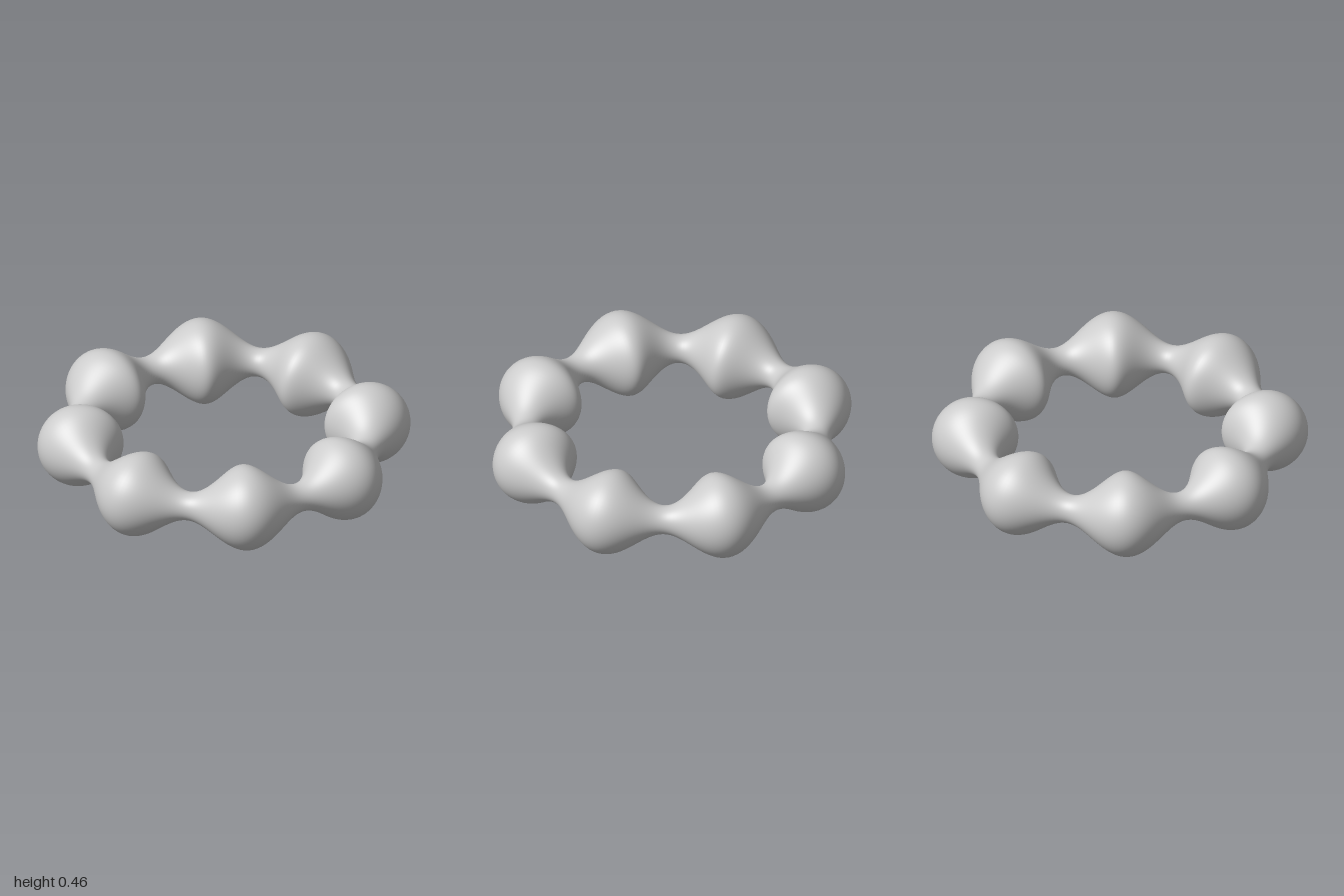
import * as THREE from 'three';
import { mergeVertices } from 'three/addons/utils/BufferGeometryUtils.js';

const RING = 0.77;   // radius of the ring's centre line
const BEAD = 0.23;   // tube radius at a bead
const NECK = 0.077;  // tube radius between beads
const BEADS = 8;

export function createModel() {
  const group = new THREE.Group();
  group.name = 'beadedRing';

  // Torus of unit-like tube, whose thickness swells in a cosine wave around the ring
  let geometry = new THREE.TorusGeometry(RING, BEAD, 64, 256);
  geometry.rotateX(Math.PI / 2);
  const pos = geometry.attributes.position;
  const p = new THREE.Vector3();
  const centre = new THREE.Vector3();
  for (let i = 0; i < pos.count; i++) {
    p.fromBufferAttribute(pos, i);
    const angle = Math.atan2(p.z, p.x);
    const radius = (BEAD + NECK) / 2 + ((BEAD - NECK) / 2) * Math.cos(BEADS * angle);
    centre.set(RING * Math.cos(angle), 0, RING * Math.sin(angle));
    p.sub(centre).multiplyScalar(radius / BEAD).add(centre);
    pos.setXYZ(i, p.x, p.y + BEAD, p.z);
  }

  // Weld the seams so the shading runs smoothly all round
  geometry.deleteAttribute('uv');
  geometry.deleteAttribute('normal');
  geometry = mergeVertices(geometry, 1e-5);
  geometry.computeVertexNormals();

  const ring = new THREE.Mesh(geometry, new THREE.MeshStandardMaterial({ color: 0xcccccc }));
  ring.name = 'ring';
  group.add(ring);
  return group;
}
